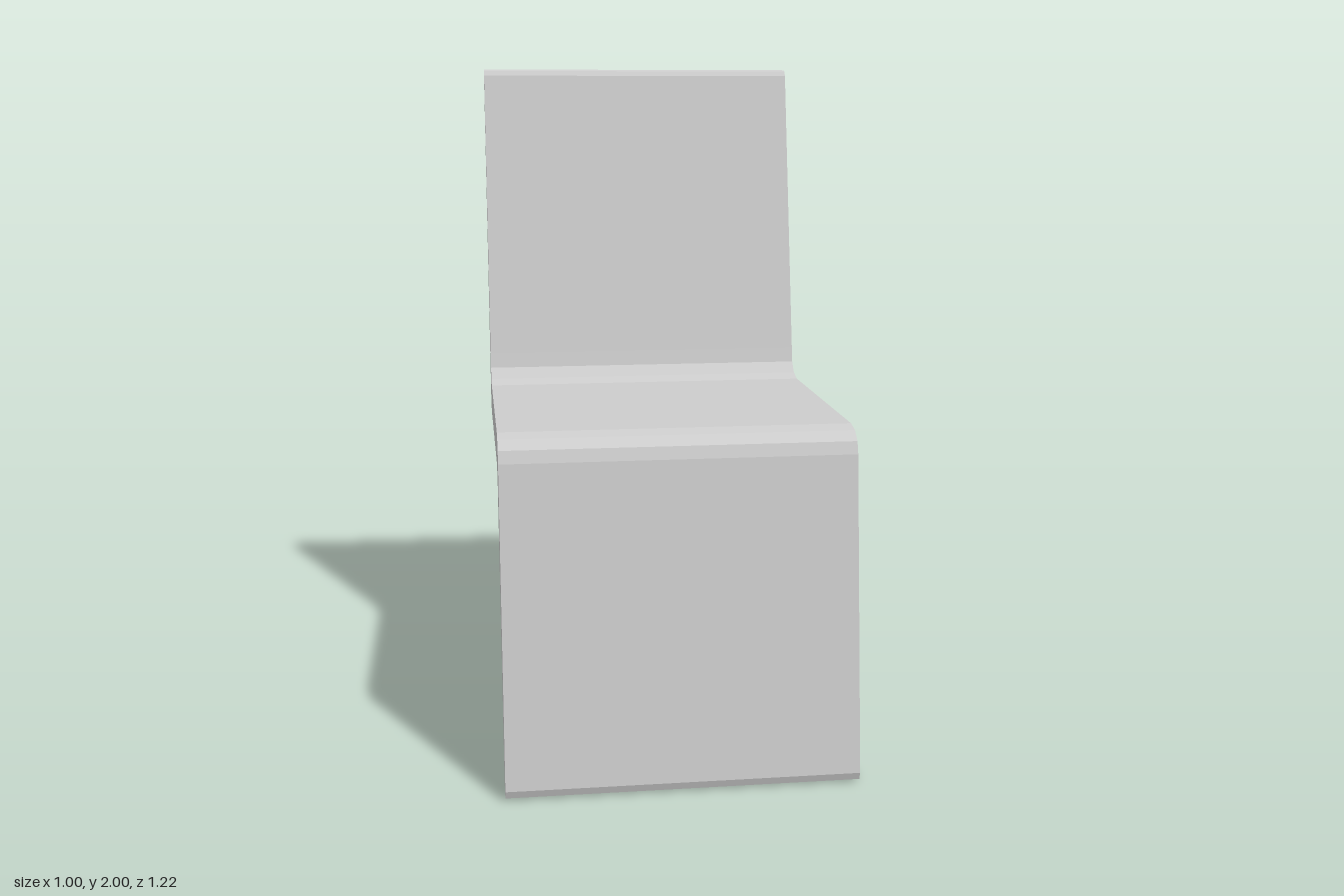
import * as THREE from 'three';

const material = new THREE.MeshStandardMaterial({ color: 0xcccccc, flatShading: true });

// Extrudes a side profile of [z, y] points across x, centred on x = 0.
function panel(name, points, width) {
  const shape = new THREE.Shape(points.map(([z, y]) => new THREE.Vector2(z, y)));
  const geometry = new THREE.ExtrudeGeometry(shape, { depth: width, bevelEnabled: false });
  geometry.translate(0, 0, -width / 2);
  geometry.rotateY(-Math.PI / 2);
  const mesh = new THREE.Mesh(geometry, material);
  mesh.name = name;
  return mesh;
}

export function createModel() {
  const group = new THREE.Group();
  group.name = 'chair';

  // One bent sheet: front leg, seat and backrest
  group.add(panel('frontLegSeatAndBack', [
    // foot and outer face of the front leg
    [0.51, 0.025], [0.515, 0.01], [0.53, 0], [0.585, 0], [0.602, 0.008], [0.61, 0.03],
    // front bend and seat top
    [0.5, 0.93], [0.488, 0.965], [0.457, 0.99], [0.41, 1], [-0.31, 1],
    // bend up into the backrest
    [-0.357, 1.013], [-0.385, 1.045], [-0.395, 1.09],
    // rounded top edge and rear face
    [-0.575, 1.98], [-0.585, 1.995], [-0.6, 2], [-0.605, 1.985], [-0.49, 0.985],
    // rear lower bend and seat underside
    [-0.485, 0.945], [-0.46, 0.908], [-0.405, 0.895], [0.31, 0.895],
    // inner front bend
    [0.36, 0.883], [0.39, 0.855], [0.4, 0.81],
  ], 1));

  // Slightly narrower rear leg, running up into the seat bend
  group.add(panel('rearLeg', [
    [-0.605, 0.025], [-0.597, 0.007], [-0.58, 0], [-0.535, 0], [-0.515, 0.01], [-0.505, 0.03],
    [-0.4, 0.9], [-0.43, 0.95], [-0.488, 0.985], [-0.492, 0.94],
  ], 0.905));

  return group;
}
